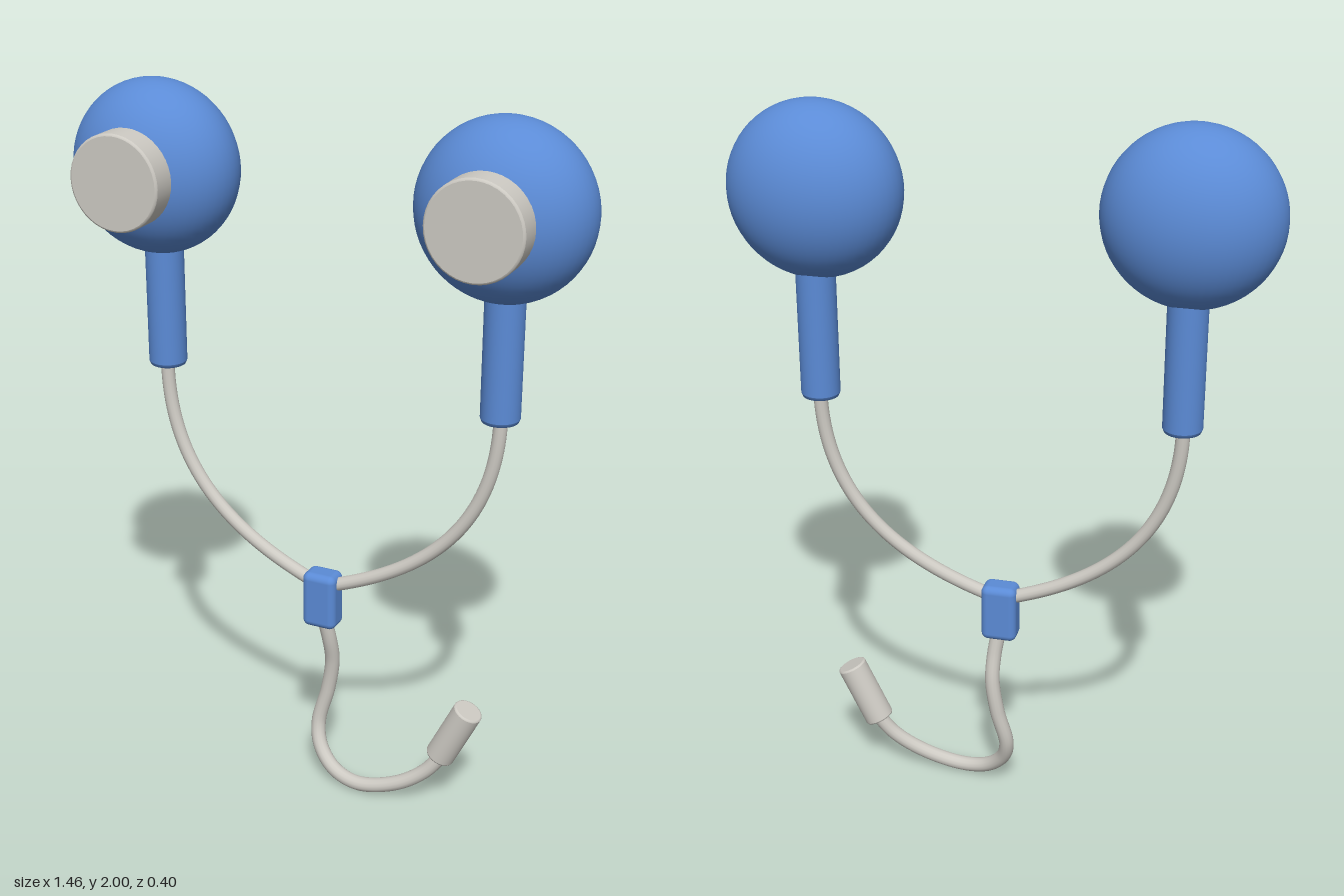
import * as THREE from 'three';
import { RoundedBoxGeometry } from 'three/addons/geometries/RoundedBoxGeometry.js';

const blue = new THREE.MeshStandardMaterial({ color: 0x5b8bd6 });
blue.name = 'blue plastic';
const grey = new THREE.MeshStandardMaterial({ color: 0xcdcac3 });
grey.name = 'light grey';

const v = (x, y, z) => new THREE.Vector3(x, y, z);

function add(parent, name, geometry, material) {
  const mesh = new THREE.Mesh(geometry, material);
  mesh.name = name;
  parent.add(mesh);
  return mesh;
}

// Cylinder along y with small bevelled rims; doubled points keep the edges crisp
function bevelCylinder(radius, length, bevel) {
  const h = length / 2;
  const profile = [
    [0, -h], [radius - bevel, -h], [radius - bevel, -h],
    [radius - bevel * 0.3, -h + bevel * 0.3],
    [radius, -h + bevel], [radius, -h + bevel],
    [radius, h - bevel], [radius, h - bevel],
    [radius - bevel * 0.3, h - bevel * 0.3],
    [radius - bevel, h], [radius - bevel, h], [0, h],
  ].map(([x, y]) => new THREE.Vector2(x, y));
  return new THREE.LatheGeometry(profile, 40);
}

function createEarbud(side) {
  const group = new THREE.Group();
  group.name = side > 0 ? 'leftEarbud' : 'rightEarbud';

  // Flattened round housing
  const shell = add(group, 'housing', new THREE.SphereGeometry(0.235, 48, 32), blue);
  shell.scale.z = 0.76;
  shell.position.set(side * 0.493, 1.765, -0.022);

  // Speaker pad on the front
  const pad = add(group, 'speakerPad', bevelCylinder(0.13, 0.08, 0.006), grey);
  pad.rotation.x = Math.PI / 2;
  pad.position.set(side * 0.493, 1.768, 0.16);

  // Stem
  const stem = add(group, 'stem', bevelCylinder(0.053, 0.44, 0.014), blue);
  stem.position.set(side * 0.493, 1.415, -0.046);

  // Wire down to the splitter
  const path = new THREE.CubicBezierCurve3(
    v(side * 0.495, 1.22, -0.046), v(side * 0.5, 0.85, -0.038),
    v(side * 0.25, 0.7, -0.028), v(0, 0.62, -0.016));
  add(group, 'wire', new THREE.TubeGeometry(path, 48, 0.019, 14), grey);
  return group;
}

export function createModel() {
  const model = new THREE.Group();
  model.name = 'earphones';
  for (const side of [-1, 1]) model.add(createEarbud(side));

  // Splitter joining the wires
  const splitter = add(model, 'splitter', new RoundedBoxGeometry(0.1, 0.166, 0.074, 4, 0.02), blue);
  splitter.position.set(0, 0.583, -0.016);

  // Main cable
  const cablePath = new THREE.CatmullRomCurve3([
    v(0, 0.54, -0.014), v(0.014, 0.45, -0.03), v(0.016, 0.37, -0.047),
    v(0.001, 0.27, -0.05), v(-0.023, 0.16, -0.038), v(-0.006, 0.095, -0.016),
    v(0.048, 0.043, 0.007), v(0.13, 0.025, 0.021), v(0.245, 0.055, 0.016),
    v(0.33, 0.112, 0.002), v(0.385, 0.185, -0.01),
  ]);
  add(model, 'cable', new THREE.TubeGeometry(cablePath, 96, 0.021, 14), grey);

  // Plug at the cable end
  const from = v(0.368, 0.167, -0.012), to = v(0.45, 0.335, -0.012);
  const plug = add(model, 'plug', bevelCylinder(0.042, from.distanceTo(to), 0.005), grey);
  plug.position.copy(from).lerp(to, 0.5);
  plug.quaternion.setFromUnitVectors(v(0, 1, 0), to.sub(from).normalize());

  return model;
}
